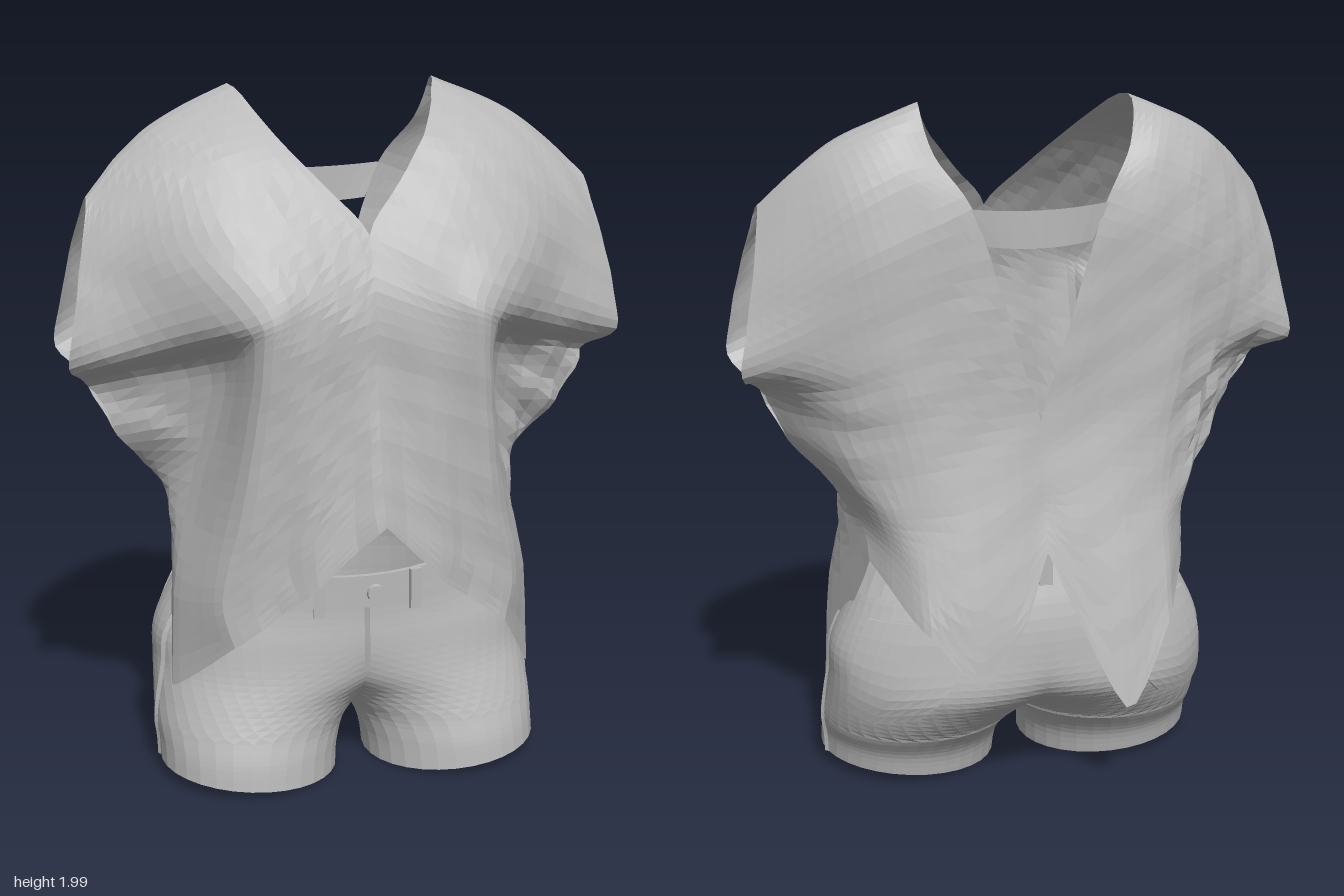
import * as THREE from 'three';

const cloth = new THREE.MeshStandardMaterial({ color: 0xb9b9b9, flatShading: true, side: THREE.DoubleSide });
cloth.name = 'greyCloth';

const clamp01 = (t) => Math.min(1, Math.max(0, t));

// Smooth interpolation through equally spaced number tuples; slack 0 gives straight runs
function spline(keys, t, slack = 1) {
  const n = keys.length - 1, f = clamp01(t) * n, i = Math.min(n - 1, Math.floor(f)), s = f - i;
  const b = keys[i], c = keys[i + 1], a = keys[Math.max(0, i - 1)], d = keys[Math.min(n, i + 2)];
  return b.map((_, k) => {
    const m0 = (c[k] - a[k]) / 2 * slack, m1 = (d[k] - b[k]) / 2 * slack, e = c[k] - b[k];
    return b[k] + s * (m0 + s * (3 * e - 2 * m0 - m1 + s * (m0 + m1 - 2 * e)));
  });
}

// Grid surface from a point function
function sheet(name, nu, nv, point) {
  const pos = [], idx = [];
  for (let j = 0; j <= nv; j++) for (let i = 0; i <= nu; i++) pos.push(...point(i / nu, j / nv));
  for (let j = 0; j < nv; j++) for (let i = 0; i < nu; i++) {
    const a = j * (nu + 1) + i, b = a + 1, c = a + nu + 1, d = c + 1;
    idx.push(a, b, d, a, d, c);
  }
  let g = new THREE.BufferGeometry();
  g.setAttribute('position', new THREE.Float32BufferAttribute(pos, 3));
  g.setIndex(idx);
  g = g.toNonIndexed();
  g.computeVertexNormals();
  const mesh = new THREE.Mesh(g, cloth);
  mesh.name = name;
  return mesh;
}

// Blouse rows from shoulder to hem, each from the centre out to the sleeve or side seam
const frontRows = [
  [[.3, 2, -.11], [.42, 1.95, -.1], [.54, 1.89, -.07], [.64, 1.81, -.04], [.725, 1.72, 0]],
  [[.22, 1.89, .1], [.36, 1.87, .11], [.5, 1.81, .11], [.65, 1.69, .1], [.755, 1.58, .08]],
  [[.11, 1.76, .21], [.29, 1.7, .26], [.47, 1.62, .25], [.64, 1.52, .16], [.785, 1.42, .12]],
  [[0, 1.63, .29], [.2, 1.52, .355], [.34, 1.45, .38], [.55, 1.36, .22], [.8, 1.27, .12]],
  [[0, 1.45, .36], [.2, 1.38, .385], [.32, 1.35, .385], [.43, 1.27, .18], [.73, 1.19, .02]],
  [[0, 1.25, .37], [.2, 1.18, .38], [.34, 1.12, .355], [.43, 1.09, .14], [.66, 1.04, .03]],
  [[0, 1.05, .4], [.2, .95, .38], [.38, .86, .33], [.48, .85, .09], [.55, .92, -.02]],
  [[0, .93, .43], [.22, .75, .38], [.43, .62, .31], [.53, .58, .12], [.48, .81, -.13]],
  [[0, .85, .46], [.2, .64, .39], [.4, .48, .33], [.545, .26, .14], [.47, .72, -.17]],
];
const backRows = [
  [[.28, 1.87, -.2], [.38, 1.86, -.21], [.52, 1.79, -.19], [.65, 1.67, -.14], [.755, 1.58, -.08]],
  [[.19, 1.73, -.265], [.32, 1.68, -.265], [.48, 1.61, -.25], [.66, 1.5, -.18], [.785, 1.42, -.12]],
  [[.115, 1.5, -.275], [.28, 1.48, -.275], [.45, 1.42, -.26], [.63, 1.34, -.2], [.805, 1.27, -.13]],
  [[.055, 1.3, -.28], [.25, 1.28, -.28], [.42, 1.25, -.27], [.58, 1.2, -.18], [.73, 1.19, .02]],
  [[0, 1.12, -.28], [.2, 1.1, -.29], [.38, 1.08, -.28], [.54, 1.04, -.18], [.66, 1.04, .03]],
  [[0, .98, -.3], [.2, .9, -.33], [.35, .88, -.31], [.46, .88, -.23], [.55, .92, -.02]],
  [[0, .87, -.32], [.2, .63, -.4], [.35, .71, -.35], [.43, .78, -.25], [.48, .81, -.13]],
  [[0, .76, -.35], [.2, .31, -.47], [.35, .53, -.4], [.43, .66, -.27], [.47, .72, -.17]],
];
const blouseRows = [...backRows.reverse(), ...frontRows];

// One half of the blouse, running from the back hem over the shoulder to the front hem
function blouseHalf(name, side) {
  return sheet(name, 20, 80, (u, v) => {
    const isFront = v > .5;
    const slack = 1 - (isFront ? .8 : .3) * clamp01((Math.abs(v - .5) * 2 - .75) / .2);
    let [x, y, z] = spline(blouseRows.map((r) => spline(r, u, slack)), v);
    x = Math.max(0, x) * side;
    // the four hem tips hang unevenly
    if (isFront && side < 0 && y < .5) y += (.5 - y) * .2;
    if (!isFront && side > 0 && y < .6) {
      z += (.6 - y) * .14;
      y += (.6 - y) * .35;
    }
    // hanging folds on the front, crumples under the sleeves
    const ax = Math.abs(x);
    const fold = isFront ? .008 * clamp01((1.45 - y) / .4) * clamp01((.4 - ax) / .15) : 0;
    const crumple = .002 + .011 * clamp01((ax - .4) / .12) * clamp01((1.32 - y) / .15) * clamp01((y - .72) / .15);
    const n = Math.sin(x * 21 + y * 27) * Math.cos(z * 23 - y * 17) + .6 * Math.sin(x * 41 - z * 37 + y * 9);
    return [x + crumple * n * clamp01(ax * 5) * .6, y + crumple * n * .5,
      z + crumple * n + fold * Math.sin(x * 34 + y * 2)];
  });
}

// Shorts sections from hem to waist: y, centre x, radius x, centre z, radius z
const shortsRows = [
  [.03, .31, .26, .085, .255], [.1, .305, .265, .07, .26], [.17, .288, .287, .035, .275], [.25, .235, .335, -.005, .295],
  [.33, .13, .435, -.035, .32], [.43, .03, .53, -.04, .325], [.55, 0, .505, -.035, .315], [.7, 0, .42, 0, .28],
];

function shortsPoint(v, angle, side, offset = 0) {
  const [y, cx, rx, cz, rz] = spline(shortsRows, v);
  const c = Math.cos(angle), s = Math.sin(angle);
  const x = Math.max(0, cx + (rx + offset) * c);
  const tilt = .02 * c * clamp01((.15 - y) / .12) - .055 * s * clamp01((y - .45) / .2);
  return [x * side, y + tilt, cz + (rz + offset) * s];
}

// Angle at which a section meets the centre plane: a full turn on the legs, an open arc above
function centreAngle(v) {
  const [, cx, rx] = spline(shortsRows, v);
  return Math.acos(Math.max(-1, -cx / rx));
}

const box = (name, w, h, d, p, turn) => {
  const m = new THREE.Mesh(new THREE.BoxGeometry(w, h, d), cloth);
  m.name = name;
  m.position.set(...p);
  m.rotation.y = turn;
  return m;
};

export function createModel() {
  const model = new THREE.Group();
  const blouse = new THREE.Group(), shorts = new THREE.Group();
  blouse.name = 'blouse';
  shorts.name = 'shorts';
  model.add(blouse, shorts);

  for (const side of [1, -1]) {
    const label = side > 0 ? 'left' : 'right';
    blouse.add(blouseHalf(label + 'BlouseHalf', side));

    // outer shell of one leg and half the hips
    shorts.add(sheet(label + 'ShortsHalf', 32, 32, (u, v) => shortsPoint(v, (u * 2 - 1) * centreAngle(v), side)));
    // hem turned inward
    const hem = [[0, 0], [0, -.022], [.12, -.022]];
    shorts.add(sheet(label + 'Hem', 32, 2, (u, v) => {
      const [h, off] = hem[Math.round(v * 2)];
      return shortsPoint(h, (u * 2 - 1) * Math.PI, side, off);
    }));
    // waistband
    shorts.add(sheet(label + 'Waistband', 20, 3, (u, v) => {
      const off = v < .9 ? .012 : -.004;
      return shortsPoint(.89 + .11 * Math.min(1, v * 1.5), (u - .5) * Math.PI, side, off);
    }));
    // back pocket with a pointed base and upright edges
    const edge = (t) => clamp01((t - .1) / .8);
    shorts.add(sheet(label + 'BackPocket', 10, 10, (u, v) => {
      const a = edge(u), low = .46 - .06 * (1 - Math.abs(a * 2 - 1));
      const rim = u === 0 || u === 1 || v === 0 || v === 1 ? -.004 : .009;
      return shortsPoint(low + (.84 - low) * edge(v), -.4 - .75 * a, side, rim);
    }));
    // straight side seam
    shorts.add(sheet(label + 'SideSeam', 2, 20, (u, v) => {
      const [, , , cz, rz] = spline(shortsRows, v * .85);
      return shortsPoint(v * .85, Math.asin((.03 + u * .02 - cz) / rz), side, u === .5 ? .008 : 0);
    }));
    // belt loops at front and side
    for (const a of [1.26, .3, -.7]) {
      const p = shortsPoint(.935, a, side, .018);
      shorts.add(box(label + 'BeltLoop', .035, .12, .014, p, side * Math.atan2(Math.cos(a) * .3, Math.sin(a) * .46)));
    }
  }

  // band across the back of the neck
  blouse.add(sheet('neckBand', 8, 1, (u, v) => {
    const t = u * 2 - 1;
    return [t * (.15 + .045 * v), 1.615 + .105 * v + .01 * t * t, -.285 + .015 * t * t];
  }));

  // back loop, button and fly
  shorts.add(box('backBeltLoop', .04, .11, .014, shortsPoint(.935, -Math.PI / 2, 1, .018), 0));
  const button = new THREE.Mesh(new THREE.CylinderGeometry(.024, .026, .014, 14), cloth);
  button.name = 'button';
  const bp = shortsPoint(.94, Math.PI / 2, 1, .018);
  button.position.set(.02, bp[1], bp[2]);
  button.rotation.x = Math.PI / 2;
  shorts.add(button);
  shorts.add(sheet('flySeam', 2, 14, (u, v) => {
    const p = shortsPoint(.6 + .29 * v, Math.PI / 2, 1, u === .5 ? .008 : 0);
    return [(u - .5) * .016, p[1], p[2]];
  }));
  return model;
}
